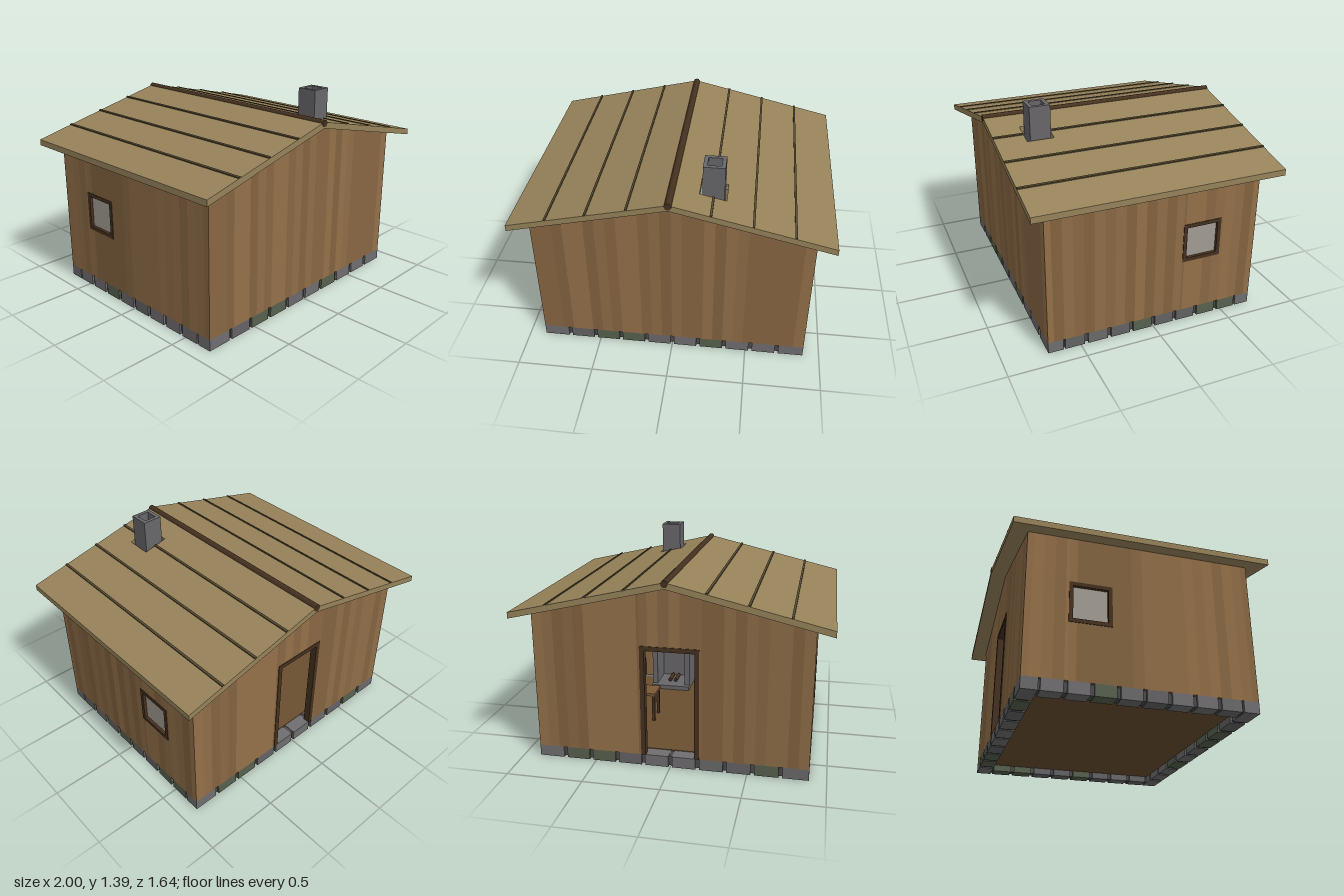
import * as THREE from 'three';

const mat = (color) => new THREE.MeshStandardMaterial({ color });
const WALL = [0x8f6d47, 0x886743, 0x947149, 0x83633f].map(mat);
const STONE = [0x6b696b, 0x646264, 0x706e70, 0x57614f].map(mat);
const ROOF = mat(0x97835a), DARK = mat(0x45311f), BATTEN = mat(0x54482f);
const MORTAR = mat(0x4c4a4b), FLOOR = mat(0x6b4f30), GLASS = mat(0xa39d92);
const CHIMNEY = mat(0x68666a), CLOTH = mat(0x8d98a3), TIMBER = mat(0x7a5a36);

const W = 0.89, D = 0.715, T = 0.04, BASE = 0.075, SLOPE = 0.235, RIDGE = 1.255;
const under = (x) => RIDGE - 0.04 - SLOPE * Math.abs(x);

let seed = 7;
const rand = () => (seed = (seed * 16807) % 2147483647) / 2147483647;
const pick = (list) => list[Math.floor(rand() * list.length)];

function add(parent, name, geometry, material) {
  const m = new THREE.Mesh(geometry, material);
  m.name = name;
  parent.add(m);
  return m;
}

// Box given by its minimum and maximum corners
function box(parent, name, material, x0, x1, y0, y1, z0, z1) {
  const g = new THREE.BoxGeometry(x1 - x0, y1 - y0, z1 - z0);
  g.translate((x0 + x1) / 2, (y0 + y1) / 2, (z0 + z1) / 2);
  return add(parent, name, g, material);
}

function group(parent, name) {
  const g = new THREE.Group();
  g.name = name;
  parent.add(g);
  return g;
}

// Wall of upright planks; local +z is outward, with an optional opening
function plankWall(parent, name, half, count, top, hole) {
  const wall = group(parent, name);
  let edges = [0];
  for (let i = 0; i <= count; i++) edges.push(-half + (2 * half * i) / count);
  if (hole) edges.push(hole.u0, hole.u1);
  edges = edges.sort((a, b) => a - b).filter((e, i, l) => i === 0 || e - l[i - 1] > 1e-4);
  const plank = (a, b, y0, ya, yb, material) => {
    const s = new THREE.Shape();
    s.moveTo(a, y0).lineTo(b, y0).lineTo(b, yb).lineTo(a, ya).closePath();
    const g = new THREE.ExtrudeGeometry(s, { depth: T, bevelEnabled: false });
    add(wall, 'wallPlank', g.translate(0, 0, -T), material);
  };
  for (let i = 0; i < edges.length - 1; i++) {
    const a = edges[i], b = edges[i + 1], material = pick(WALL);
    const inHole = hole && (a + b) / 2 > hole.u0 && (a + b) / 2 < hole.u1;
    if (!inHole) plank(a, b, BASE, top(a), top(b), material);
    else {
      plank(a, b, hole.y1, top(a), top(b), material);
      if (hole.y0 > BASE) plank(a, b, BASE, hole.y0, hole.y0, material);
    }
  }
  return wall;
}

// Frame lining an opening
function frame(wall, name, { u0, u1, y0, y1 }, w, sill) {
  const f = group(wall, name);
  const z0 = -T - 0.004, z1 = 0.004;
  box(f, 'frameJamb', DARK, u0, u0 + w, y0, y1, z0, z1);
  box(f, 'frameJamb', DARK, u1 - w, u1, y0, y1, z0, z1);
  box(f, 'frameHead', DARK, u0 + w, u1 - w, y1 - w, y1, z0, z1);
  if (sill) box(f, 'frameSill', DARK, u0 + w, u1 - w, y0, y0 + w, z0, z1);
}

// Tilt a flat geometry lying at y = 0 onto the roof slopes
function onRoof(g) {
  const p = g.attributes.position;
  for (let i = 0; i < p.count; i++) p.setY(i, p.getY(i) + RIDGE - SLOPE * Math.abs(p.getX(i)));
  g.computeVertexNormals();
  return g;
}

const rect = (Type, x0, x1, y0, y1) =>
  new Type().moveTo(x0, y0).lineTo(x1, y0).lineTo(x1, y1).lineTo(x0, y1).closePath();

function foundation(parent) {
  const f = group(parent, 'foundation');
  const gap = 0.012, R = 0.1;
  for (const s of [-1, 1]) {
    const span = (d) => (s > 0 ? [d - R, d] : [-d, -d + R]);
    const [z0, z1] = span(D), [x0, x1] = span(W);
    const step = (2 * W) / 10, zStep = (2 * (D - R)) / 8;
    for (let i = 0; i < 10; i++) {
      const a = -W + i * step;
      box(f, 'foundationStone', pick(STONE), a + (i ? gap : 0), a + step - (i < 9 ? gap : 0), 0, BASE, z0, z1);
    }
    for (let i = 0; i < 8; i++) {
      const a = -D + R + i * zStep;
      box(f, 'foundationStone', pick(STONE), x0, x1, 0, BASE, a + gap, a + zStep - gap);
    }
    box(f, 'mortar', MORTAR, -W + 0.015, W - 0.015, 0.006, BASE - 0.003, z0 + 0.015, z1 - 0.015);
    box(f, 'mortar', MORTAR, x0 + 0.015, x1 - 0.015, 0.006, BASE - 0.003, -D + R, D - R);
  }
  box(parent, 'floor', FLOOR, -W + 0.09, W - 0.09, 0.045, BASE + 0.004, -D + 0.09, D - 0.09);
}

function roof(parent) {
  const r = group(parent, 'roof');
  for (const s of [-1, 1]) {
    const shape = rect(THREE.Shape, s < 0 ? -1 : 0, s < 0 ? 0 : 1, -0.82, 0.82);
    // opening for the chimney
    if (s > 0) shape.holes.push(rect(THREE.Path, 0.165, 0.33, 0.45, 0.625));
    const g = new THREE.ExtrudeGeometry(shape, { depth: 0.04, bevelEnabled: false }).rotateX(Math.PI / 2);
    add(r, 'roofSlope', onRoof(g), ROOF);
    for (const x of [0.25, 0.5, 0.75]) {
      const runs = s > 0 && x === 0.25 ? [[-0.82, 0.45], [0.625, 0.82]] : [[-0.82, 0.82]];
      for (const [z0, z1] of runs) {
        const b = box(r, 'roofBatten', BATTEN, s * x - 0.007, s * x + 0.007, -0.005, 0.007, z0, z1);
        onRoof(b.geometry);
      }
    }
  }
  const pole = new THREE.CylinderGeometry(0.023, 0.023, 1.645, 10).rotateX(Math.PI / 2);
  add(r, 'ridgePole', pole.translate(0, 1.246, 0), DARK);
}

function fireplace(parent) {
  const f = group(parent, 'fireplace');
  // hollow flue
  const flue = rect(THREE.Shape, 0.18, 0.315, 0.465, 0.6);
  flue.holes.push(rect(THREE.Path, 0.205, 0.29, 0.49, 0.575));
  const g = new THREE.ExtrudeGeometry(flue, { depth: 0.99, bevelEnabled: false }).rotateX(Math.PI / 2);
  add(f, 'chimney', g.translate(0, 1.39, 0), CHIMNEY);
  // open hearth facing into the room
  box(f, 'hearth', CHIMNEY, 0.1, 0.4, 0.079, 0.11, 0.38, 0.675);
  box(f, 'hearthSide', CHIMNEY, 0.1, 0.14, 0.11, 0.4, 0.42, 0.675);
  box(f, 'hearthSide', CHIMNEY, 0.36, 0.4, 0.11, 0.4, 0.42, 0.675);
  box(f, 'hearthBack', CHIMNEY, 0.14, 0.36, 0.11, 0.4, 0.63, 0.675);
  for (const x of [0.225, 0.27]) {
    const log = new THREE.CylinderGeometry(0.015, 0.015, 0.12, 8).rotateX(Math.PI / 2);
    add(f, 'log', log.translate(x, 0.126, 0.53), DARK);
  }
}

function furniture(parent) {
  // chair facing the room
  const c = group(parent, 'chair');
  box(c, 'chairSeat', TIMBER, 0.22, 0.38, 0.27, 0.29, -0.22, -0.06);
  for (const x of [0.225, 0.355]) for (const z of [-0.215, -0.08]) {
    box(c, 'chairLeg', DARK, x, x + 0.02, 0.079, x > 0.3 ? 0.48 : 0.27, z, z + 0.02);
  }
  box(c, 'chairBack', DARK, 0.358, 0.372, 0.41, 0.46, -0.195, -0.08);
  // bed along the side wall
  const b = group(parent, 'bed');
  box(b, 'bedFrame', DARK, 0.52, 0.84, 0.18, 0.23, -0.02, 0.66);
  box(b, 'mattress', CLOTH, 0.53, 0.83, 0.23, 0.28, -0.01, 0.65);
  for (const x of [0.52, 0.81]) for (const z of [-0.02, 0.63]) {
    box(b, 'bedLeg', DARK, x, x + 0.03, 0.079, 0.18, z, z + 0.03);
  }
}

export function createModel() {
  const cabin = new THREE.Group();
  cabin.name = 'cabin';
  foundation(cabin);

  // gable walls, the doorway in the rear one
  plankWall(cabin, 'frontWall', W, 26, under).position.z = D;
  const door = { u0: -0.19, u1: 0.19, y0: BASE, y1: 0.82 };
  const back = plankWall(cabin, 'backWall', W, 26, under, door);
  back.rotation.y = Math.PI;
  back.position.z = -D;
  frame(back, 'doorFrame', door, 0.03, false);

  // side walls, each with a window
  for (const s of [-1, 1]) {
    const win = { u0: s * 0.322 - 0.132, u1: s * 0.322 + 0.132, y0: 0.44, y1: 0.705 };
    const wall = plankWall(cabin, s > 0 ? 'leftWall' : 'rightWall', D - T, 20, () => under(W), win);
    wall.rotation.y = (s * Math.PI) / 2;
    wall.position.x = s * W;
    frame(wall, 'windowFrame', win, 0.025, true);
    box(wall, 'windowPane', GLASS, win.u0 + 0.02, win.u1 - 0.02, 0.46, 0.685, -0.024, -0.016);
  }

  roof(cabin);
  fireplace(cabin);
  furniture(cabin);
  return cabin;
}
